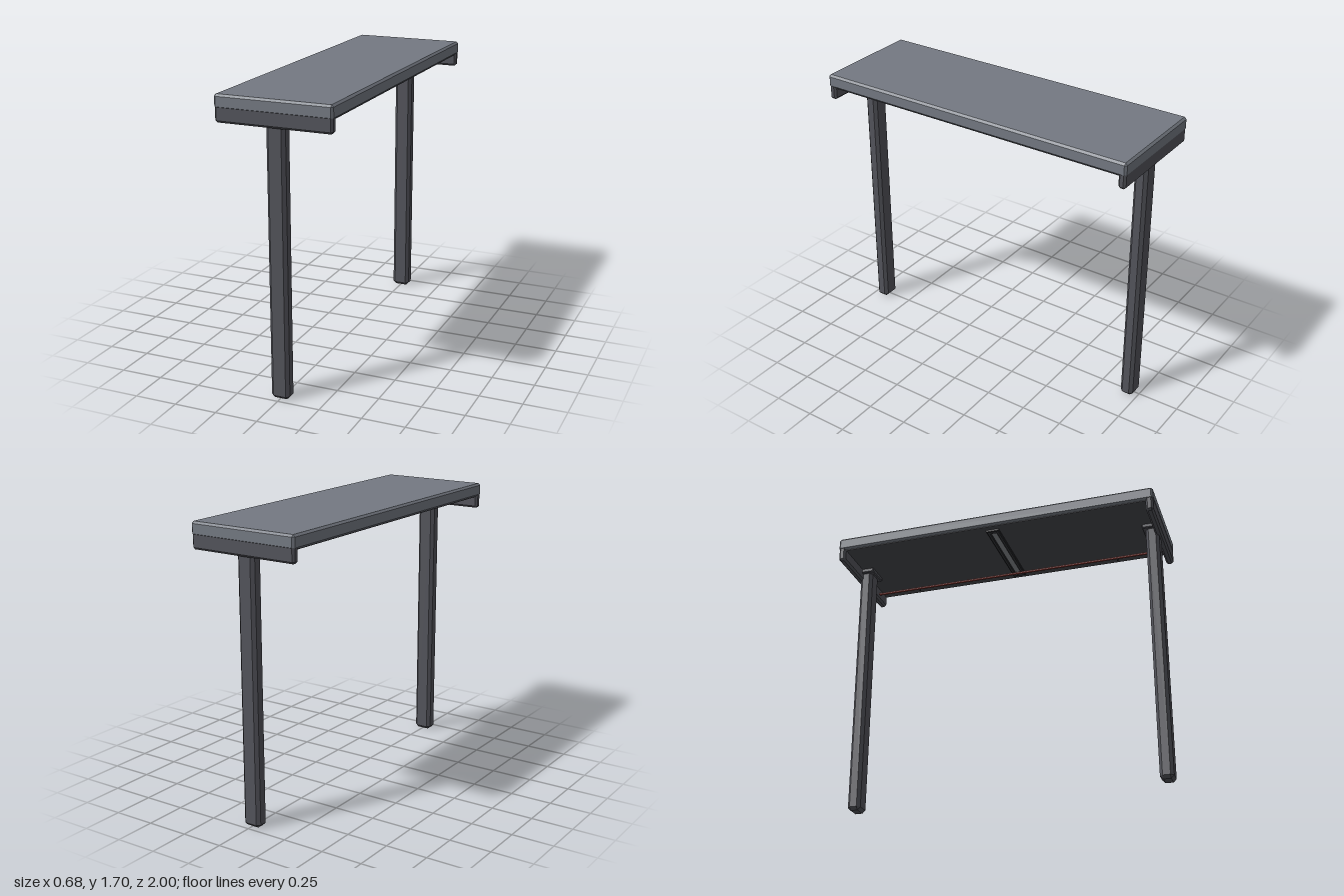
import * as THREE from 'three';
import { ConvexGeometry } from 'three/addons/geometries/ConvexGeometry.js';

const paint = (color) => new THREE.MeshStandardMaterial({ color, flatShading: true });

// Box between two corners with every edge cut at 45 degrees
function chamferBox(min, max, c) {
  const points = [];
  for (let i = 0; i < 8; i++) {
    for (let keep = 0; keep < 3; keep++) {
      const p = [0, 1, 2].map((a) => {
        const high = (i >> a) & 1;
        const cut = a === keep ? 0 : c;
        return high ? max[a] - cut : min[a] + cut;
      });
      points.push(new THREE.Vector3(...p));
    }
  }
  return new ConvexGeometry(points);
}

export function createModel() {
  const model = new THREE.Group();
  model.name = 'canopy';
  const slabPaint = paint(0x747982);
  const framePaint = paint(0x53545b);
  const undersidePaint = paint(0x48494e);
  const lampPaint = paint(0x8a8d92);
  const pipePaint = paint(0x8a3a34);
  const metalPaint = paint(0x35363a);

  const add = (name, geometry, material, x = 0, y = 0, z = 0) => {
    const mesh = new THREE.Mesh(geometry, material);
    mesh.name = name;
    mesh.position.set(x, y, z);
    model.add(mesh);
    return mesh;
  };

  // Roof slab and its darker ceiling
  add('roofSlab', chamferBox([-0.34, 1.617, -1], [0.34, 1.697, 1], 0.012), slabPaint);
  add('ceilingPanel', new THREE.BoxGeometry(0.656, 0.01, 1.92), undersidePaint, 0, 1.619, 0);

  // Same end at front and back: hanging skirt, post and the collar at its top
  for (const s of [1, -1]) {
    const zBox = (x, y0, y1, z0, z1, c) => chamferBox(
      [-x, y0, Math.min(s * z0, s * z1)], [x, y1, Math.max(s * z0, s * z1)], c);
    const end = s > 0 ? 'front' : 'back';
    add(end + 'Skirt', zBox(0.338, 1.543, 1.65, 0.953, 0.998, 0.012), framePaint);
    add(end + 'Post', zBox(0.055, 0, 1.617, 0.895, 0.975, 0.018), framePaint);
    add(end + 'Collar', zBox(0.075, 1.588, 1.618, 0.878, 0.99, 0.006), framePaint);
  }

  // Ceiling lamp: a bevelled frame around a pale strip
  const outline = new THREE.Shape();
  outline.moveTo(-0.285, -0.035).lineTo(0.285, -0.035).lineTo(0.285, 0.035).lineTo(-0.285, 0.035).closePath();
  const opening = new THREE.Path();
  opening.moveTo(-0.265, -0.022).lineTo(-0.265, 0.022).lineTo(0.265, 0.022).lineTo(0.265, -0.022).closePath();
  outline.holes.push(opening);
  const frame = new THREE.ExtrudeGeometry(outline, {
    depth: 0.01, bevelThickness: 0.004, bevelSize: 0.005, bevelSegments: 1,
  });
  add('lampFrame', frame, metalPaint, 0, 1.614, 0).rotation.x = Math.PI / 2;
  add('lampStrip', new THREE.BoxGeometry(0.54, 0.008, 0.05), lampPaint, 0, 1.611, 0);

  // Sprinkler pipe along the left side, with three small heads
  const pipeX = 0.215;
  const pipeY = 1.58;
  add('pipe', new THREE.CylinderGeometry(0.008, 0.008, 1.92, 10), pipePaint, pipeX, pipeY, 0)
    .rotation.x = Math.PI / 2;
  for (const z of [-0.665, 0, 0.665]) {
    add('sprinklerStem', new THREE.CylinderGeometry(0.004, 0.004, 0.018, 8), metalPaint, pipeX, 1.568, z);
    add('sprinklerHead', new THREE.CylinderGeometry(0.007, 0.004, 0.006, 8), metalPaint, pipeX, 1.562, z);
  }
  return model;
}
